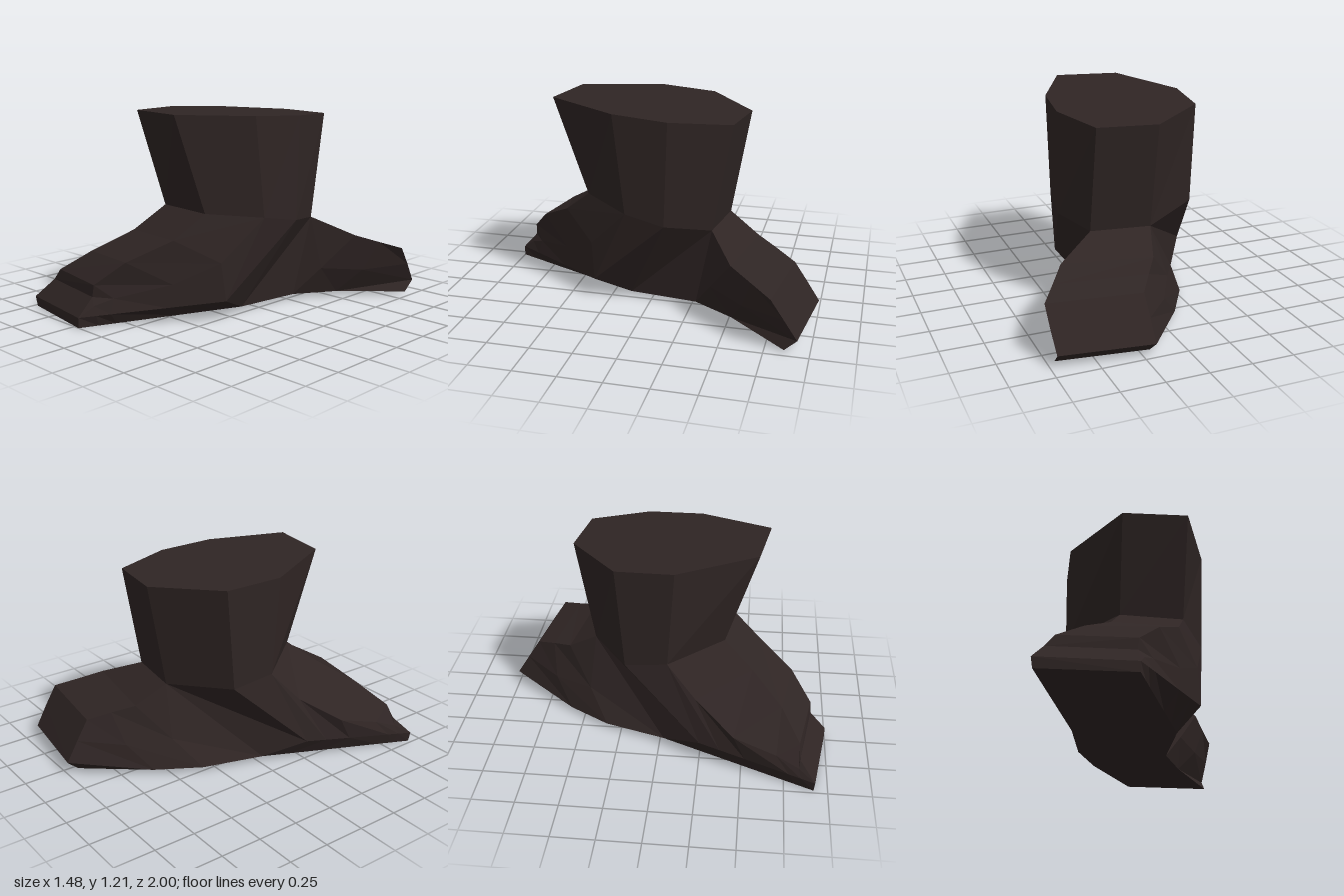
import * as THREE from 'three';

// Skin a row of closed rings with flat faces; optional caps at both ends
function loft(rings, capStart, capEnd) {
  const pos = [];
  const tri = (a, b, c) => {
    const [p, q, r] = [a, b, c].map((v) => new THREE.Vector3(...v));
    if (q.clone().sub(p).cross(r.clone().sub(p)).length() > 1e-6) pos.push(...a, ...b, ...c);
  };
  const quad = (a, b, c, d) => {
    tri(a, b, c);
    tri(a, c, d);
  };
  for (let i = 0; i < rings.length - 1; i++) {
    const A = rings[i], B = rings[i + 1], n = A.length;
    for (let j = 0; j < n; j++) quad(A[j], A[(j + 1) % n], B[(j + 1) % n], B[j]);
  }
  // Caps are strips of quads joining opposite sides of the ring
  const cap = (r) => {
    const n = r.length;
    for (let j = 0; j < n / 2 - 1; j++) quad(r[j], r[j + 1], r[n - 2 - j], r[n - 1 - j]);
  };
  if (capStart) cap([...rings[0]].reverse());
  if (capEnd) cap(rings[rings.length - 1]);
  const g = new THREE.BufferGeometry();
  g.setAttribute('position', new THREE.Float32BufferAttribute(pos, 3));
  g.computeVertexNormals();
  return g;
}

const mix = (a, b, t) => a.map((v, i) => v + (b[i] - v) * t);

export function createModel() {
  const group = new THREE.Group();
  const leather = new THREE.MeshStandardMaterial({ color: 0x2f2524 });
  leather.name = 'dark leather';
  const add = (name, geometry) => {
    const mesh = new THREE.Mesh(geometry, leather);
    mesh.name = name;
    group.add(mesh);
  };

  // Ankle ring and the wider, slanted top above it
  const ankle = [
    [0.2, 0.63, 0.4], [0.4, 0.595, 0.12], [0.435, 0.55, -0.12], [0.33, 0.515, -0.38],
    [-0.02, 0.515, -0.43], [-0.38, 0.55, -0.2], [-0.41, 0.59, 0.05], [-0.17, 0.63, 0.37],
  ];
  const top = [
    [0.18, 0.61], [0.395, 0.19], [0.435, -0.14], [0.33, -0.49],
    [-0.02, -0.54], [-0.38, -0.25], [-0.42, 0.09], [-0.2, 0.55],
  ].map(([x, z]) => [x, 1.173 + 0.053 * z, z]);
  add('shaft', loft([ankle, top], false, true));

  // Points where the sole pinches in at the arch
  const archL = [-0.37, 0.03, 0.025], archR = [0.23, 0.03, 0.13];
  const ballL = [-0.52, 0.125, 0.25], ballR = [0.31, 0.125, 0.34];
  const toeL = [-0.74, 0.06, 0.925], toeR = [-0.21, 0.06, 1];

  // Forefoot: straight sole and welt, with listed side and instep points
  // [fraction to arch, left side, left instep, right instep, right side]
  const front = [
    [0, toeL, toeL, toeR, toeR],
    [0.12, [-0.69, 0.12, 0.83], [-0.665, 0.165, 0.835], [-0.2, 0.165, 0.905], [-0.17, 0.12, 0.92]],
    [0.22, [-0.65, 0.17, 0.7], [-0.61, 0.235, 0.83], [-0.19, 0.235, 0.9], [-0.1, 0.16, 0.83]],
    [0.6, [-0.6, 0.24, 0.45], [-0.44, 0.36, 0.72], [-0.05, 0.37, 0.78], [0.12, 0.235, 0.58]],
    [0.82, [-0.47, 0.4, 0.22], [-0.26, 0.49, 0.54], [0.12, 0.49, 0.57], [0.29, 0.35, 0.36]],
    [1, ankle[6], ankle[7], ankle[0], ankle[1]],
  ].map(([t, mL, tL, tR, mR]) => [
    mix([-0.73, 0, 0.92], archL, t), mix(toeL, ballL, t), mL, tL,
    tR, mR, mix(toeR, ballR, t), mix([-0.21, 0, 1], archR, t),
  ]);
  add('forefoot', loft(front, true, false));

  // Arch: slanted band from the ankle down to the sole on both sides
  const archStart = front[front.length - 1];
  const archMid = [archL, ballL, ankle[5], ankle[5], ankle[2], ankle[2], ballR, archR];
  const archEnd = [archL, archL, ankle[4], ankle[4], ankle[3], ankle[3], archR, archR];
  add('arch', loft([archStart, archMid, archEnd], false, false));

  // Heel: rings of sole, lower side, side and upper edge
  const heel = [
    archEnd,
    [[-0.26, 0.03, -0.34], [-0.26, 0.03, -0.34], [-0.12, 0.2, -0.46], [0.04, 0.4, -0.61],
      [0.56, 0.41, -0.53], [0.41, 0.2, -0.39], [0.28, 0.03, -0.28], [0.28, 0.03, -0.28]],
    [[-0.11, 0.03, -0.59], [-0.11, 0.03, -0.59], [0.01, 0.18, -0.7], [0.12, 0.36, -0.73],
      [0.65, 0.36, -0.66], [0.57, 0.18, -0.6], [0.43, 0.03, -0.52], [0.43, 0.03, -0.52]],
    [[0.2, 0.015, -0.93], [0.19, 0.08, -1], [0.195, 0.2, -0.925], [0.2, 0.315, -0.85],
      [0.735, 0.315, -0.78], [0.73, 0.2, -0.855], [0.72, 0.08, -0.93], [0.715, 0.015, -0.86]],
  ];
  add('heel', loft(heel, false, true));

  return group;
}
